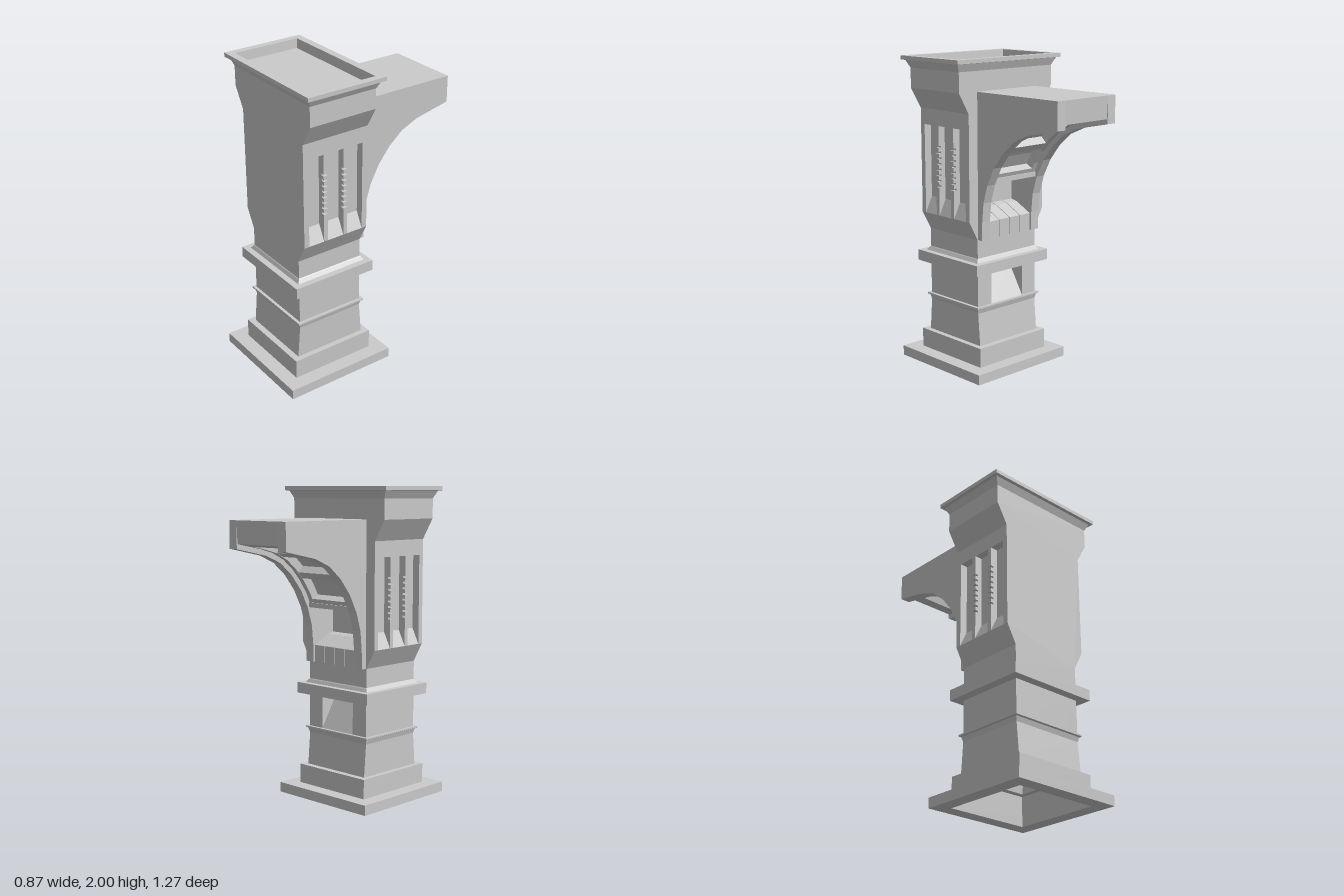
import * as THREE from 'three';

const CZ = 0.2625; // z centre of the column
const mat = new THREE.MeshStandardMaterial({ color: 0xcccccc, flatShading: true, side: THREE.DoubleSide });

function add(parent, name, geometry) {
  const mesh = new THREE.Mesh(geometry, mat);
  mesh.name = name;
  parent.add(mesh);
  return mesh;
}

const toShape = pts => new THREE.Shape(pts.map(p => new THREE.Vector2(p[0], p[1])));

// Rectangular rings [half width, y, half depth] joined from one to the next
function loft(rings) {
  const pos = [], index = [];
  for (const [hx, y, hz] of rings)
    for (const [sx, sz] of [[1, 1], [1, -1], [-1, -1], [-1, 1]]) pos.push(sx * hx, y, CZ + sz * hz);
  for (let r = 0; r < rings.length - 1; r++)
    for (let k = 0; k < 4; k++) {
      const a = r * 4 + k, b = r * 4 + (k + 1) % 4;
      index.push(a, b, b + 4, a, b + 4, a + 4);
    }
  const g = new THREE.BufferGeometry();
  g.setAttribute('position', new THREE.Float32BufferAttribute(pos, 3));
  g.setIndex(index);
  const flat = g.toNonIndexed();
  flat.computeVertexNormals();
  return flat;
}

// Side profile in (z, y), extruded across x
function across(pts, x0, x1) {
  const g = new THREE.ExtrudeGeometry(toShape(pts), { depth: x1 - x0, bevelEnabled: false });
  return g.rotateY(-Math.PI / 2).translate(x1, 0, 0);
}

// Front outline mirrored from its right half, extruded along z
function slab(side, z0, z1, hole) {
  const half = [[0.25, 0.88], [0.315, 1.0], ...side, [0.315, 1.67], [0.39, 1.8]];
  const shape = toShape([...half, ...half.map(([x, y]) => [-x, y]).reverse()]);
  if (hole) shape.holes.push(new THREE.Path(hole.map(p => new THREE.Vector2(p[0], p[1]))));
  return new THREE.ExtrudeGeometry(shape, { depth: z1 - z0, bevelEnabled: false }).translate(0, 0, z0);
}

function buildColumn() {
  const column = new THREE.Group();
  column.name = 'column';

  // Hollow stepped base, tapered shaft and thin ring
  add(column, 'base', loft([
    [0.285, 0.065, 0.285], [0.285, 0, 0.285], [0.38, 0, 0.3775], [0.38, 0.065, 0.3775], [0.285, 0.065, 0.285],
    [0.285, 0.19, 0.285], [0.25, 0.19, 0.245], [0.25, 0.40, 0.2275], [0.258, 0.43, 0.236],
    [0.27, 0.435, 0.247], [0.27, 0.445, 0.247], [0.25, 0.445, 0.2275]]));

  // Middle shaft with a wedge-shaped niche in the back
  for (const s of [-1, 1])
    add(column, 'shaftSide', across([[0.035, 0.445], [0.49, 0.445], [0.49, 0.665], [0.035, 0.665]],
      s > 0 ? 0.135 : -0.25, s > 0 ? 0.25 : -0.135));
  add(column, 'shaftNiche', across([[0.035, 0.445], [0.49, 0.445], [0.49, 0.665], [0.17, 0.665]], -0.135, 0.135));

  // Collar and neck
  add(column, 'collar', loft([
    [0, 0.665, 0], [0.31, 0.665, 0.285], [0.31, 0.735, 0.285], [0.27, 0.735, 0.245],
    [0.255, 0.755, 0.2325], [0.25, 0.76, 0.2275], [0.25, 0.88, 0.2275]]));

  // Upper body in slices: plain edges, notched bars and sunken panels
  const notches = [];
  for (let i = 0; i < 8; i++) {
    const y = 1.18 + i * 0.036;
    notches.push([0.315, y], [0.295, y], [0.295, y + 0.012], [0.315, y + 0.012]);
  }
  const panel = [[0.265, 1.1], [0.265, 1.57], [0.315, 1.57]];
  const cavity = [[-0.18, 1.0], [0.18, 1.0], [0.18, 1.24], [-0.18, 1.24]];
  [
    ['backEdge', [], 0.035, 0.07, cavity],
    ['sidePanel', panel, 0.07, 0.18, cavity],
    ['notchedBar', notches, 0.18, 0.208],
    ['sidePanel', panel, 0.208, 0.32],
    ['notchedBar', notches, 0.32, 0.348],
    ['sidePanel', panel, 0.348, 0.455],
    ['frontEdge', [], 0.455, 0.49],
  ].forEach(([name, side, z0, z1, hole]) => add(column, name, slab(side, z0, z1, hole)));

  // Cornice with a sunken tray on top
  add(column, 'cornice', loft([
    [0.39, 1.8, 0.2275], [0.39, 1.925, 0.2275], [0.415, 1.972, 0.247], [0.435, 1.975, 0.2675],
    [0.435, 2, 0.2675], [0.39, 2, 0.22], [0.385, 1.94, 0.215], [0, 1.94, 0]]));
  return column;
}

function buildBracket() {
  const bracket = new THREE.Group();
  bracket.name = 'bracket';
  const arch = [[0, 0.88], [-0.003, 1.0], [-0.015, 1.12], [-0.05, 1.235], [-0.11, 1.35],
    [-0.19, 1.45], [-0.285, 1.53], [-0.4, 1.58], [-0.635, 1.63]];

  // Arched cheeks
  const cheek = [[0.04, 0.88], ...arch, [-0.635, 1.8], [0.04, 1.8]];
  for (const s of [-1, 1])
    add(bracket, 'archCheek', across(cheek, s > 0 ? 0.18 : -0.245, s > 0 ? 0.245 : -0.18));

  // Point on the arch at fraction s, moved d into the bracket
  const curve = new THREE.SplineCurve(arch.map(p => new THREE.Vector2(p[0], p[1])));
  const inset = (s, d) => {
    const p = curve.getPointAt(s), t = curve.getTangentAt(s);
    return [Math.max(p.x + t.y * d, -0.635), p.y - t.x * d];
  };
  const RIB = 0.03, DEEP = 0.085;
  const coffers = [[0.37, 0.51], [0.555, 0.695], [0.74, 0.91]];
  const plain = [], stepped = [inset(0.32, RIB)];
  for (let i = 0; i <= 8; i++) plain.push(inset(0.32 + 0.68 * i / 8, RIB));
  for (const [a, b] of coffers)
    stepped.push(inset(a, RIB), inset(a, DEEP), inset((a + b) / 2, DEEP), inset(b, DEEP), inset(b, RIB));
  stepped.push(inset(1, RIB));
  const close = pts => [[0.04, pts[0][1]], ...pts, [-0.635, 1.8], [0.04, 1.8]];

  // Coffered soffit between narrow rails
  for (const s of [-1, 1])
    add(bracket, 'soffitRail', across(close(plain), s > 0 ? 0.145 : -0.18, s > 0 ? 0.18 : -0.145));
  add(bracket, 'cofferedSoffit', across(close(stepped), -0.145, 0.145));

  // Raised bead around the lowest rib
  const [bz, by] = inset(0.335, 0.02);
  const bead = add(bracket, 'soffitBead', new THREE.BoxGeometry(0.36, 0.03, 0.03));
  bead.position.set(0, by, bz + 0.01);

  // Row of sloped blocks at the foot of the arch
  for (let i = 0; i < 4; i++) {
    const x = -0.18 + i * 0.09;
    add(bracket, 'footBlock', across(
      [[0.01, 0.88], [0.18, 0.88], [0.18, 1.06], [0.13, 1.05], [0.01, 0.99]], x + 0.002, x + 0.088));
  }
  return bracket;
}

export function createModel() {
  const model = new THREE.Group();
  model.name = 'bracketedColumn';
  model.add(buildColumn(), buildBracket());
  return model;
}
